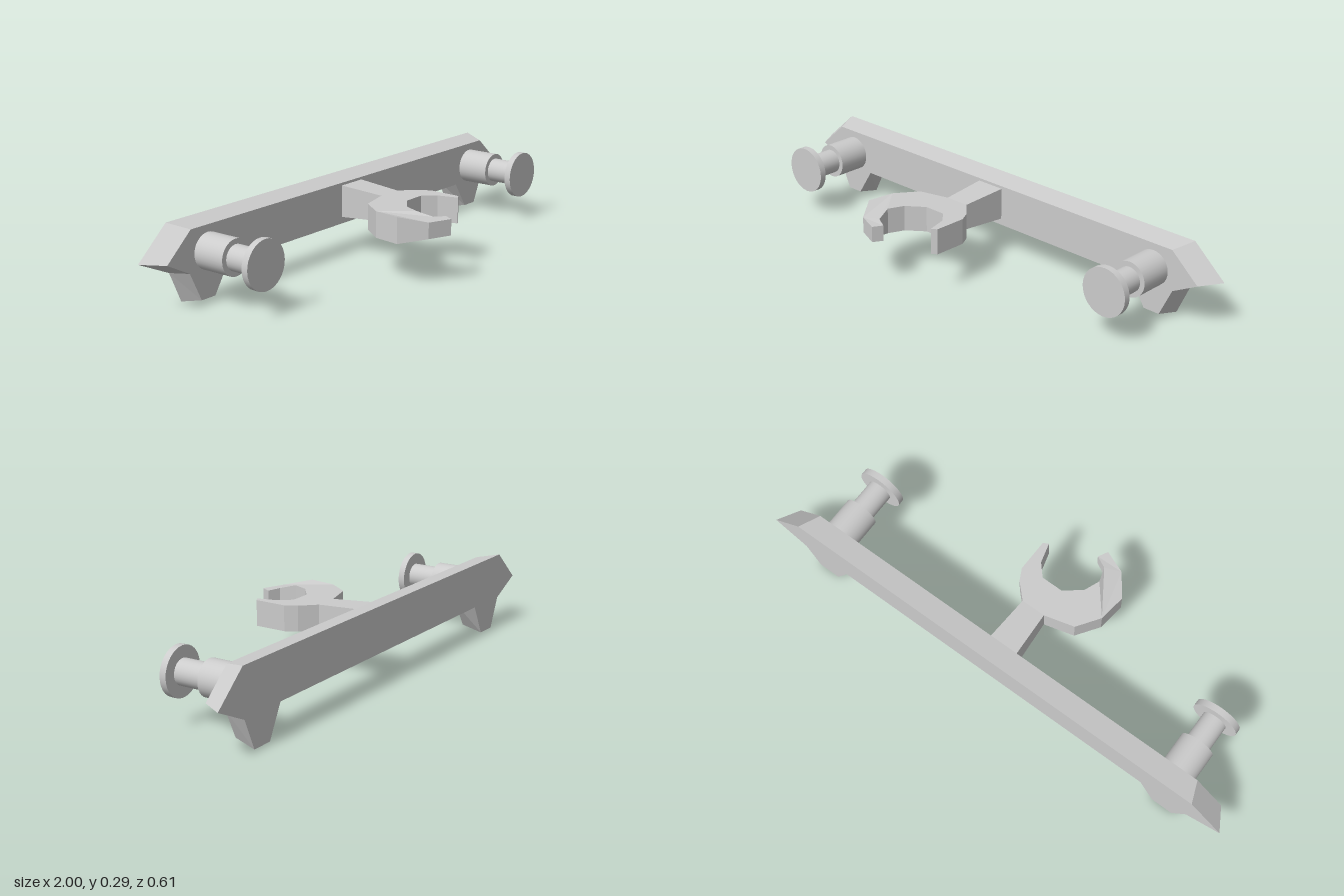
import * as THREE from 'three';

const material = new THREE.MeshStandardMaterial({ color: 0xcccccc });
const flatMaterial = new THREE.MeshStandardMaterial({ color: 0xcccccc, flatShading: true });

// Solid between two matching outlines; flat is the outline in 2D, counter-clockwise seen from the b side
function loft(name, flat, a, b) {
  const pos = [];
  const tri = (...pts) => pts.forEach((p) => pos.push(...p));
  const n = a.length;
  const faces = THREE.ShapeUtils.triangulateShape(flat.map(([x, y]) => new THREE.Vector2(x, y)), []);
  for (const [i, j, k] of faces) {
    tri(b[i], b[j], b[k]);
    tri(a[k], a[j], a[i]);
  }
  for (let i = 0; i < n; i++) {
    const j = (i + 1) % n;
    tri(a[i], a[j], b[j]);
    tri(a[i], b[j], b[i]);
  }
  const geometry = new THREE.BufferGeometry();
  geometry.setAttribute('position', new THREE.Float32BufferAttribute(pos, 3));
  geometry.computeVertexNormals();
  const mesh = new THREE.Mesh(geometry, flatMaterial);
  mesh.name = name;
  return mesh;
}

// Completes a right-half outline (bottom to top) with its mirror image
const mirrored = (half) => [...half, ...half.map(([x, y]) => [-x, y]).reverse()];
const atZ = (outline, z) => outline.map(([x, y]) => [x, y, z]);

// Bar with pointed ends and two short feet, bevelled towards the front
function createBar() {
  const back = mirrored([[0.67, 0.118], [0.73, 0], [0.815, 0], [0.865, 0.115], [1, 0.178], [0.87, 0.293]]);
  const front = mirrored([[0.67, 0.12], [0.735, 0.018], [0.8, 0.018], [0.85, 0.125], [0.95, 0.178], [0.838, 0.277]]);
  return loft('bar', back, atZ(back, -0.305), atZ(front, -0.22));
}

// Stepped round peg with a wide end disc
function createPeg(x) {
  const peg = new THREE.Group();
  peg.name = x > 0 ? 'leftPeg' : 'rightPeg';
  const sections = [
    ['pegBase', 0.066, -0.225, -0.091],
    ['pegShaft', 0.047, -0.091, 0.02],
    ['pegDisc', 0.09, 0.02, 0.045],
  ];
  for (const [name, radius, z0, z1] of sections) {
    const mesh = new THREE.Mesh(new THREE.CylinderGeometry(radius, radius, z1 - z0, 32), material);
    mesh.name = name;
    mesh.rotation.x = Math.PI / 2;
    mesh.position.z = (z0 + z1) / 2;
    peg.add(mesh);
  }
  peg.position.set(x, 0.185, 0);
  return peg;
}

// Tapered stem from the bar to the clamp
function createStem(midY) {
  const rect = (x0, x1, h) => [[x0, midY - h], [x1, midY - h], [x1, midY + h], [x0, midY + h]];
  const back = rect(-0.06, 0.055, 0.061);
  return loft('stem', back, atZ(back, -0.222), atZ(rect(-0.05, 0.045, 0.049), -0.04));
}

// Open hooked clamp, outlined in x and z, thinning towards the tip of the hook
function createClamp(midY) {
  const outline = [
    [-0.05, -0.04], [-0.165, -0.01], [-0.225, 0.075], [-0.24, 0.18], [-0.175, 0.27], [-0.09, 0.305],
    [-0.07, 0.268], [-0.115, 0.245], [-0.135, 0.185], [-0.11, 0.125], [-0.045, 0.075],
    [0.04, 0.075], [0.08, 0.12], [0.1, 0.197], [0.12, 0.185], [0.123, 0.06], [0.1, 0.015], [0.045, -0.04],
  ];
  const half = (z) => THREE.MathUtils.lerp(0.049, 0.03, THREE.MathUtils.clamp((z - 0.2) / 0.055, 0, 1));
  const level = (s) => outline.map(([x, z]) => [x, midY + s * half(z), z]);
  return loft('clamp', outline.map(([x, z]) => [x, -z]), level(-1), level(1));
}

export function createModel() {
  const model = new THREE.Group();
  model.name = 'wallRack';
  const midY = 0.206;
  model.add(createBar(), createStem(midY), createClamp(midY));
  for (const side of [-1, 1]) model.add(createPeg(side * 0.76));
  return model;
}
